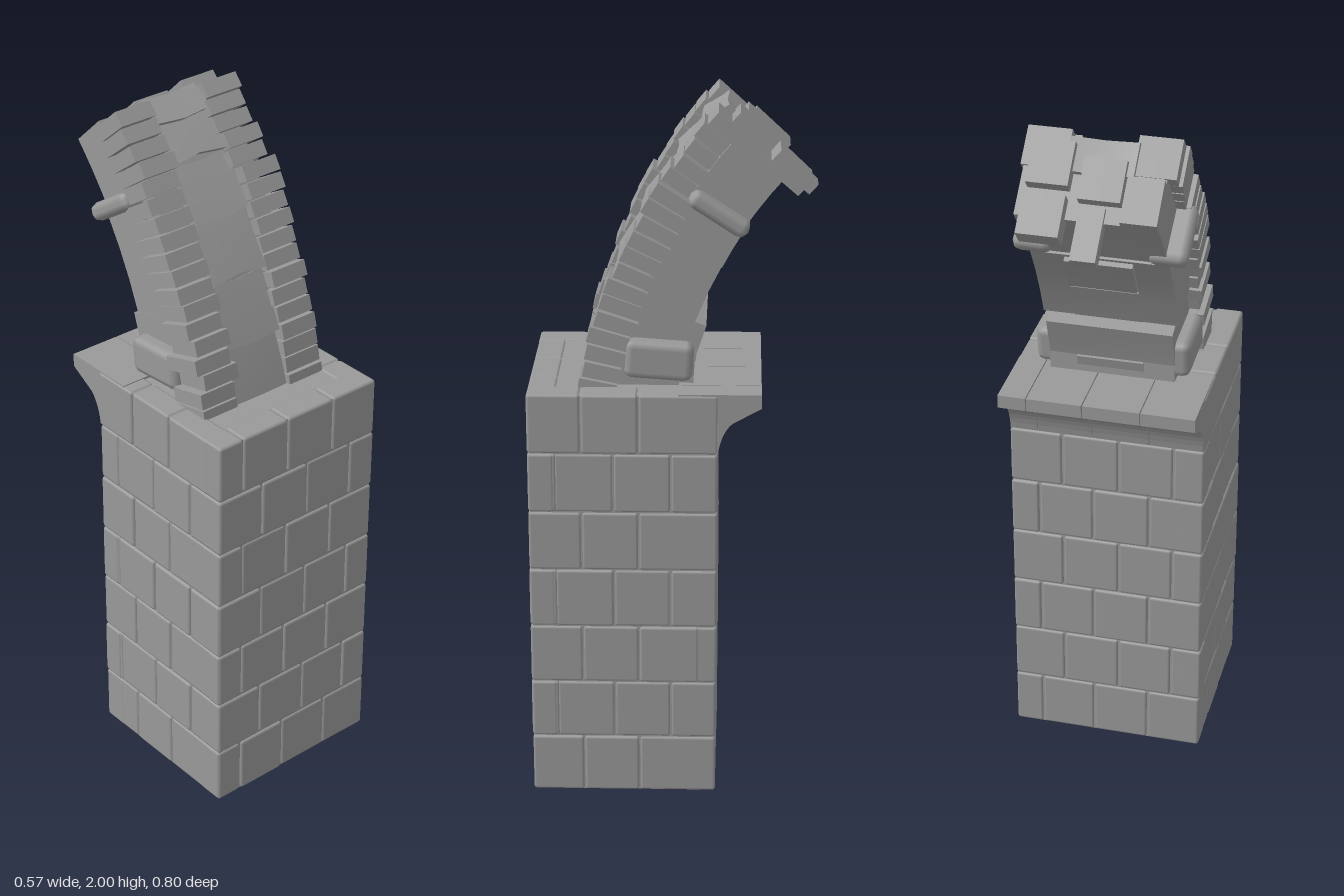
import * as THREE from 'three';
import { RoundedBoxGeometry } from 'three/addons/geometries/RoundedBoxGeometry.js';

const stone = new THREE.MeshStandardMaterial({ color: 0x999999 });
stone.name = 'grey stone';

// centre of the broken arch's curve, in the z/y plane
const ZC = -1.286, YC = 0.947;
const RAD = Math.PI / 180;

let seed = 7;
function jitter(amount) {
  seed = (seed * 16807) % 2147483647;
  return (seed / 2147483647 * 2 - 1) * amount;
}

function add(parent, geometry, name) {
  const mesh = new THREE.Mesh(geometry, stone);
  mesh.name = name;
  parent.add(mesh);
  return mesh;
}

// stone bent along the arch: angles a0..a1 in degrees, radii r0..r1, widths x0..x1
// chevron raises the middle of the ends, taper draws the upper outer edge inward
function archStone(a0, a1, r0, r1, x0, x1, { steps = 1, chevron = 0, taper = 0 } = {}) {
  const g = new THREE.BoxGeometry(1, 1, 1, 2, steps, 1);
  const p = g.attributes.position;
  for (let i = 0; i < p.count; i++) {
    const u = p.getX(i), t = p.getY(i) + 0.5, s = p.getZ(i) + 0.5;
    const a = (a0 + (a1 - a0) * t + chevron * (1 - 2 * Math.abs(u))) * RAD;
    const r = r0 + (r1 - taper * t - r0) * s;
    p.setXYZ(i, x0 + (x1 - x0) * (u + 0.5), YC + r * Math.sin(a), ZC + r * Math.cos(a));
  }
  g.computeVertexNormals();
  return g;
}

function makePillar() {
  const pillar = new THREE.Group();
  pillar.name = 'pillar';
  const W = 0.285, D = 0.265, ZM = 0.135, rows = 7, H = 1.222 / rows;
  const core = add(pillar, new THREE.BoxGeometry(0.556, 1.216, 0.516), 'pillarCore');
  core.position.set(0, 0.609, ZM);

  // block joints along the front and the right-hand face, for odd and even courses
  const frontSeams = [[-W, -0.2, -0.04, 0.125, W], [-W, -0.13, 0.035, 0.195, W]];
  const sideSeams = [[-D, -0.115, 0.045, 0.215, D], [-D, -0.19, -0.025, 0.135, D]];
  for (let face = 0; face < 4; face++) {
    const side = new THREE.Group();
    side.name = ['frontBlocks', 'leftBlocks', 'backBlocks', 'rightBlocks'][face];
    side.position.z = ZM;
    side.rotation.y = face * Math.PI / 2;
    pillar.add(side);
    const out = face % 2 ? W : D;
    for (let row = 0; row < rows; row++) {
      const seams = (face % 2 ? sideSeams : frontSeams)[row % 2];
      for (let i = 0; i < 4; i++) {
        const w = seams[i + 1] - seams[i] - 0.003;
        const g = new RoundedBoxGeometry(w, H - 0.002, 0.08, 1, 0.008);
        const block = add(side, g, 'block');
        block.position.set((seams[i] + seams[i + 1]) / 2, (row + 0.5) * H, out - 0.041 + jitter(0.002));
      }
    }
  }
  return pillar;
}

// overhanging cornice on the back of the pillar
function makeLedge() {
  const ledge = new THREE.Group();
  ledge.name = 'ledge';
  const profile = new THREE.Shape();
  profile.moveTo(0.02, 1.224);
  profile.lineTo(0.02, 1.06);
  profile.lineTo(0.13, 1.05);
  profile.quadraticCurveTo(0.14, 1.115, 0.17, 1.14);
  profile.lineTo(0.25, 1.185);
  profile.lineTo(0.25, 1.224);
  const xs = [-0.282, -0.125, 0.04, 0.2, 0.282];
  for (let i = 0; i < 4; i++) {
    const g = new THREE.ExtrudeGeometry(profile, {
      depth: xs[i + 1] - xs[i] - 0.003, bevelEnabled: false, curveSegments: 6
    });
    g.rotateY(Math.PI / 2);
    add(ledge, g, 'ledgeStone').position.x = xs[i] + 0.0015;
  }
  return ledge;
}

function makeArch() {
  const arch = new THREE.Group();
  arch.name = 'brokenArch';

  // thick body stones
  const body = [
    [9, 20.4, 1.27, 1.47, -0.18, 0.18],
    [20.6, 32.8, 1.305, 1.47, -0.19, 0.195],
    [33, 41.8, 1.31, 1.48, -0.185, 0.203]
  ];
  for (const b of body) add(arch, archStone(...b, { steps: 3 }), 'bodyStone');

  // raised panels on the inner curve
  for (const [a0, a1, r] of [[9, 15, 1.262], [21, 26.5, 1.296], [27, 32.4, 1.29]])
    add(arch, archStone(a0, a1, r, 1.32, -0.09, 0.1, { steps: 2 }), 'innerPanel');

  // sloping panels up the middle of the outer curve
  const joints = [9, 16, 22.6, 29, 35.2, 39.6, 42.6];
  for (let i = 0; i < joints.length - 1; i++) {
    const g = archStone(joints[i], joints[i + 1], 1.44, 1.562, -0.1, 0.085,
      { steps: 2, chevron: i % 2 ? -0.3 : 0.4, taper: 0.024 });
    add(arch, g, 'outerPanel');
  }

  // two rows of thin bricks edging the outer curve
  const n = 18, pitch = 33 / n;
  for (const [x0, x1] of [[-0.21, -0.092], [0.077, 0.198]]) {
    for (let i = 0; i < n; i++) {
      const a = 9.3 + i * pitch, bulge = 0.012 * Math.sin(i / n * Math.PI) + jitter(0.011);
      const dx = Math.sign(x0) * bulge;
      const g = archStone(a, a + pitch * 0.88, 1.455 + jitter(0.008), 1.568 + jitter(0.007), x0 + dx, x1 + dx);
      add(arch, g, 'edgeBrick');
    }
  }
  // mortar behind the edging bricks
  add(arch, archStone(9, 42, 1.44, 1.535, -0.18, 0.17, { steps: 10 }), 'mortar');

  // ragged stones on the broken end
  const ends = [
    [40.7, 43.4, 1.246, 1.365, 0.065, 0.18],
    [41, 43.4, 1.39, 1.515, 0.065, 0.18],
    [41, 43.2, 1.36, 1.48, -0.08, 0.035],
    [40.8, 42.8, 1.31, 1.44, -0.185, -0.085],
    [40.5, 42.3, 1.197, 1.35, -0.04, 0.03]
  ];
  for (const e of ends) add(arch, archStone(...e), 'endStone');

  // chamfered lugs on both flanks: angle, radius, tilt, thickness, length, outer x
  const lugs = [[14.8, 1.366, 4, 0.11, 0.19, 0.222], [33.7, 1.39, 33, 0.052, 0.185, 0.242]];
  for (const [a, r, tilt, h, len, outer] of lugs) {
    for (const s of [1, -1]) {
      const lug = add(arch, new RoundedBoxGeometry(0.11, h, len, 1, 0.022), 'lug');
      lug.position.set(s * (outer - 0.055), YC + r * Math.sin(a * RAD), ZC + r * Math.cos(a * RAD));
      lug.rotation.x = -tilt * RAD;
    }
  }
  // footing slab at the back of the arch
  const footing = add(arch, new THREE.BoxGeometry(0.36, 0.06, 0.12), 'footing');
  footing.position.set(0, 1.25, 0);
  return arch;
}

export function createModel() {
  const model = new THREE.Group();
  model.name = 'ruinedArch';
  model.add(makePillar(), makeLedge(), makeArch());
  return model;
}
